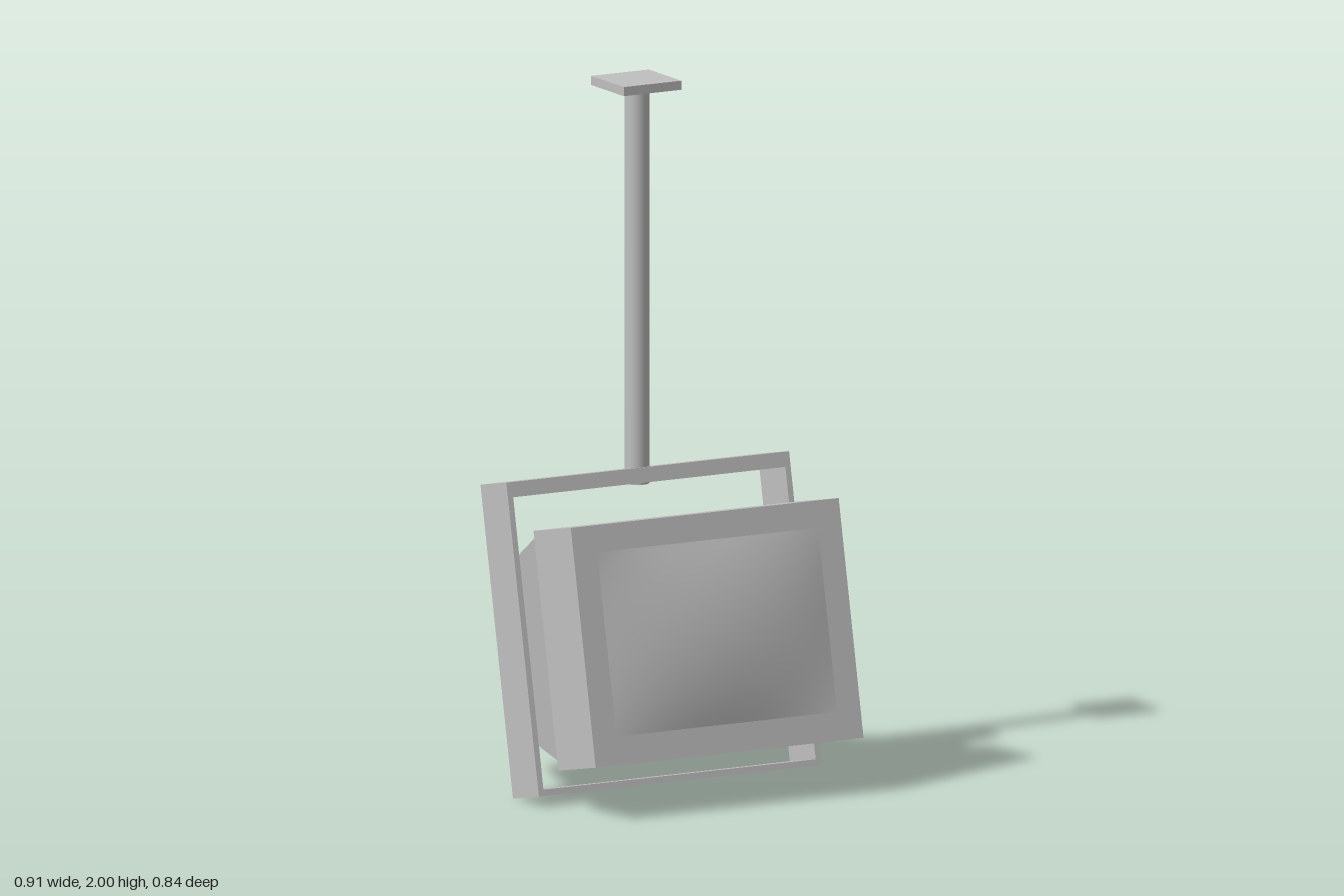
import * as THREE from 'three';

const grey = new THREE.MeshStandardMaterial({ color: 0xc0c0c0 });
grey.name = 'light grey';

function add(parent, name, geometry, x = 0, y = 0, z = 0) {
  const mesh = new THREE.Mesh(geometry, grey);
  mesh.name = name;
  mesh.position.set(x, y, z);
  parent.add(mesh);
  return mesh;
}

// Rectangular hanging frame, centred in depth
function frameGeometry(halfW, halfH, depth, side, top, bottom) {
  const rect = (target, x, y0, y1) => target.moveTo(-x, y0).lineTo(x, y0).lineTo(x, y1).lineTo(-x, y1).closePath();
  const shape = new THREE.Shape();
  rect(shape, halfW, -halfH, halfH);
  const hole = new THREE.Path();
  rect(hole, halfW - side, -halfH + bottom, halfH - top);
  shape.holes.push(hole);
  return new THREE.ExtrudeGeometry(shape, { depth, bevelEnabled: false }).translate(0, 0, -depth / 2);
}

// Box tapering from a front rectangle to a smaller back one
function taperedGeometry(front, back) {
  const g = new THREE.BoxGeometry(2, 2, 2);
  const p = g.attributes.position;
  for (let i = 0; i < p.count; i++) {
    const end = p.getZ(i) > 0 ? front : back;
    p.setXYZ(i, p.getX(i) * end.halfW, p.getY(i) > 0 ? end.top : end.bottom, end.z);
  }
  g.computeVertexNormals();
  return g;
}

// Glass bulging forward from a flat rectangular edge
function screenGeometry(w, h, bulge) {
  const g = new THREE.PlaneGeometry(w, h, 24, 20);
  const p = g.attributes.position;
  for (let i = 0; i < p.count; i++) {
    const sx = (2 * p.getX(i)) / w, sy = (2 * p.getY(i)) / h;
    p.setZ(i, bulge * (1 - sx * sx) * (1 - sy * sy));
  }
  g.computeVertexNormals();
  return g;
}

export function createModel() {
  const model = new THREE.Group();
  model.name = 'ceilingTelevision';

  // Ceiling mount
  add(model, 'ceilingPlate', new THREE.BoxGeometry(0.186, 0.026, 0.186), 0, 1.987, -0.104);
  add(model, 'pole', new THREE.CylinderGeometry(0.035, 0.035, 1.135, 32), 0, 1.4105, -0.1);

  // Frame and television tilt together
  const tilted = new THREE.Group();
  tilted.name = 'tiltedTelevision';
  tilted.position.set(0, 0.45, -0.02);
  tilted.rotation.x = THREE.MathUtils.degToRad(-12);
  model.add(tilted);

  add(tilted, 'hangingFrame', frameGeometry(0.457, 0.443, 0.15, 0.017, 0.043, 0.018));
  add(tilted, 'frontHousing', new THREE.BoxGeometry(0.866, 0.677, 0.216), 0, -0.037, 0.267);
  add(tilted, 'rearHousing', taperedGeometry(
    { halfW: 0.42, top: 0.29, bottom: -0.358, z: 0.16 },
    { halfW: 0.269, top: 0.175, bottom: -0.246, z: -0.369 }
  ));
  add(tilted, 'screen', screenGeometry(0.714, 0.52, 0.035), 0, -0.035, 0.3755);

  return model;
}
